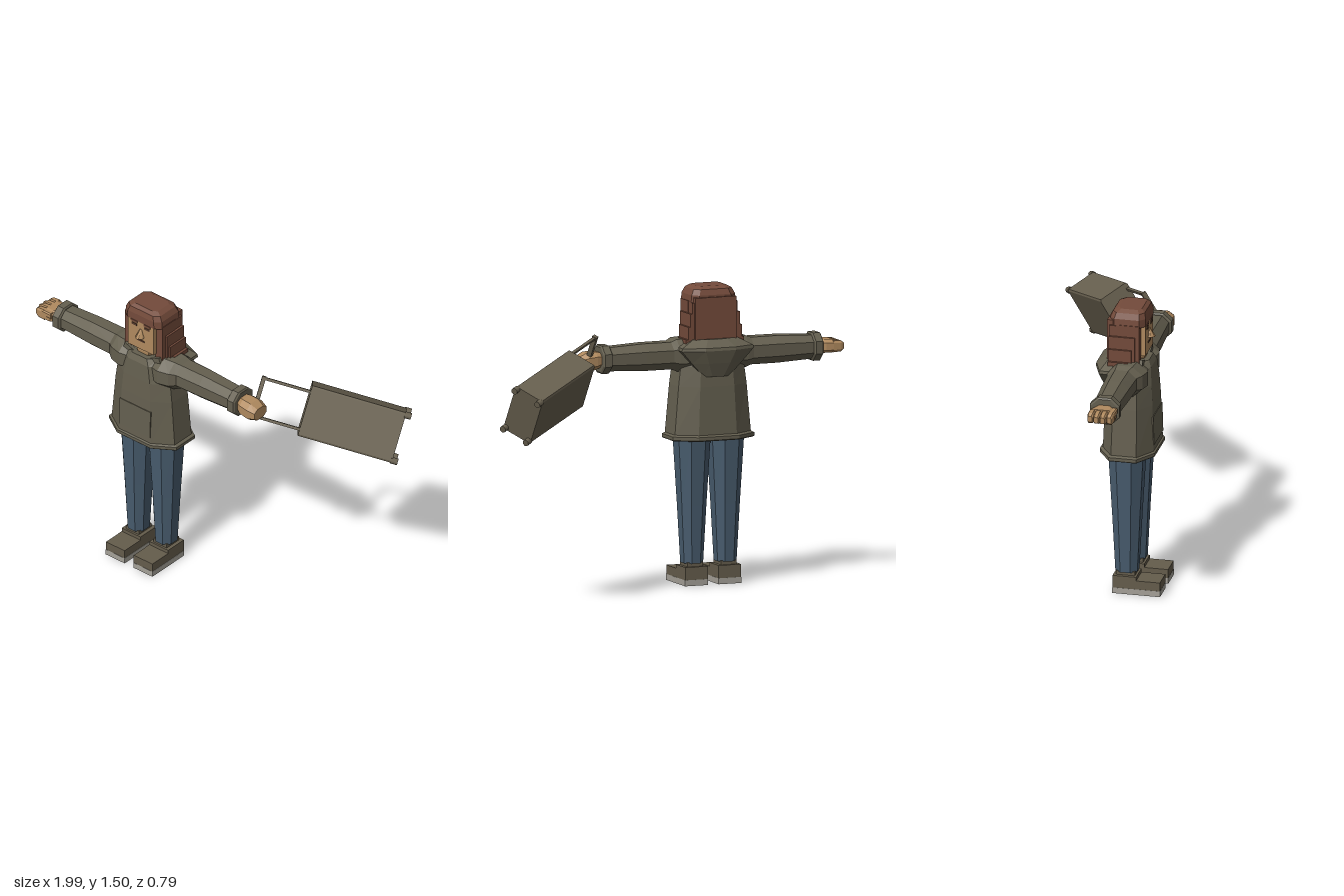
import * as THREE from 'three';

const mat = (name, color, side = THREE.FrontSide) => {
  const m = new THREE.MeshStandardMaterial({ color, side });
  m.name = name;
  return m;
};

// Faceted loft along y through chamfered rectangles: ring = [y, rx, rz, zc, xc]
function loft(rings, k = 0.5, caps = [true, true]) {
  const unit = [[1, -k], [1, k], [k, 1], [-k, 1], [-1, k], [-1, -k], [-k, -1], [k, -1]];
  const pts = rings.map(([y, rx, rz, zc = 0, xc = 0]) => unit.map(([a, b]) => [xc + a * rx, y, zc + b * rz]));
  const pos = [];
  const tri = (...t) => t.forEach((p) => pos.push(...p));
  const mid = ([y, , , zc = 0, xc = 0]) => [xc, y, zc];
  const last = rings.length - 1;
  for (let i = 0; i < 8; i++) {
    const j = (i + 1) % 8;
    for (let r = 0; r < last; r++) {
      tri(pts[r][i], pts[r + 1][i], pts[r][j]);
      tri(pts[r][j], pts[r + 1][i], pts[r + 1][j]);
    }
    if (caps[0]) tri(mid(rings[0]), pts[0][i], pts[0][j]);
    if (caps[1]) tri(mid(rings[last]), pts[last][j], pts[last][i]);
  }
  const g = new THREE.BufferGeometry();
  g.setAttribute('position', new THREE.Float32BufferAttribute(pos, 3));
  g.computeVertexNormals();
  return g;
}

export function createModel() {
  const jacket = mat('jacket olive', 0x645f4f, THREE.DoubleSide);
  const caseMat = mat('suitcase taupe', 0x696150);
  const hair = mat('hair brown', 0x744b3b);
  const skin = mat('skin', 0xb08a5f);
  const jeans = mat('jeans blue', 0x485c6e);
  const shoe = mat('shoe brown', 0x655d4c);
  const sole = mat('sole grey', 0xa5a198);
  const dark = mat('face dark', 0x553a2c);

  const model = new THREE.Group();
  const person = new THREE.Group();
  person.name = 'person';
  person.position.x = -0.285;
  model.add(person);

  const add = (parent, name, geo, m, x = 0, y = 0, z = 0) => {
    const mesh = new THREE.Mesh(geo, m);
    mesh.name = name;
    mesh.position.set(x, y, z);
    parent.add(mesh);
    return mesh;
  };
  const box = (parent, name, m, w, h, d, x, y, z) =>
    add(parent, name, new THREE.BoxGeometry(w, h, d), m, x, y, z);

  // Legs and shoes
  for (const s of [-1, 1]) {
    const x = s * 0.09;
    add(person, 'trouserLeg', loft([
      [0.11, 0.051, 0.056], [0.4, 0.066, 0.07], [0.73, 0.085, 0.088], [0.84, 0.085, 0.088],
    ], 0.45), jeans, x, 0, 0.218);
    box(person, 'ankle', shoe, 0.084, 0.03, 0.095, x, 0.1, 0.218);
    box(person, 'shoeSole', sole, 0.123, 0.03, 0.243, x, 0.015, 0.2765);
    box(person, 'shoeToe', shoe, 0.121, 0.046, 0.122, x, 0.052, 0.336);
    box(person, 'shoeHeel', shoe, 0.121, 0.064, 0.12, x, 0.062, 0.216);
  }

  // Jacket body, hem, pocket flap and hood
  add(person, 'jacketBody', loft([
    [0.75, 0.205, 0.129, 0.225], [1.0, 0.183, 0.121, 0.225], [1.1, 0.17, 0.115, 0.225],
    [1.19, 0.135, 0.104, 0.228], [1.222, 0.095, 0.09, 0.228],
  ], 0.5, [false, true]), jacket);
  add(person, 'jacketHem', loft([
    [0.73, 0.212, 0.135, 0.222], [0.735, 0.219, 0.14, 0.222], [0.752, 0.219, 0.14, 0.222], [0.76, 0.203, 0.128, 0.222],
  ], 0.5, [false, false]), jacket);
  box(person, 'pocketPanel', jacket, 0.2, 0.15, 0.008, 0, 0.865, 0.35).rotation.x = -0.03;
  add(person, 'hood', loft([
    [1.05, 0.07, 0.03, 0.125], [1.12, 0.135, 0.055, 0.128], [1.185, 0.193, 0.072, 0.127],
    [1.2, 0.19, 0.07, 0.128], [1.237, 0.12, 0.04, 0.145],
  ], 0.42), jacket);
  for (const s of [-1, 1])
    box(person, 'collarWing', jacket, 0.085, 0.03, 0.02, s * 0.075, 1.215, 0.29).rotation.z = s * 0.35;

  // Arms, modelled pointing up and then turned out sideways
  for (const s of [-1, 1]) {
    const arm = new THREE.Group();
    arm.name = s > 0 ? 'leftArm' : 'rightArm';
    arm.position.set(0, 1.155, 0.218);
    arm.rotation.z = -s * Math.PI / 2;
    person.add(arm);
    add(arm, 'sleeve', loft([
      [0.08, 0.074, 0.09, 0.012], [0.125, 0.082, 0.102, 0.012], [0.185, 0.08, 0.09, 0.008],
      [0.215, 0.068, 0.075], [0.36, 0.068, 0.07], [0.55, 0.059, 0.062],
    ], 0.45), jacket);
    add(arm, 'cuff', loft([
      [0.543, 0.062, 0.066], [0.549, 0.07, 0.075], [0.586, 0.07, 0.075], [0.592, 0.062, 0.066],
    ], 0.45), jacket);
    if (s < 0) {
      // Open hand with four fingers and a thumb
      add(arm, 'palm', loft([
        [0.58, 0.032, 0.042], [0.61, 0.034, 0.062, 0.004], [0.655, 0.033, 0.066, 0.002],
      ], 0.55), skin);
      for (let i = 0; i < 4; i++)
        add(arm, 'finger', loft([
          [0.65, 0.03, 0.0168], [0.69, 0.027, 0.0168], [i % 3 ? 0.715 : 0.706, 0.015, 0.011],
        ], 0.6), skin, 0, 0, -0.047 + i * 0.0325);
      add(arm, 'thumb', loft([[0.605, 0.016, 0.014], [0.65, 0.016, 0.014], [0.672, 0.009, 0.009]], 0.6),
        skin, 0.014, 0, 0.056);
    } else {
      // Closed hand around the suitcase handle
      add(arm, 'fist', loft([
        [0.58, 0.034, 0.042], [0.615, 0.045, 0.055, 0.005, 0.004], [0.665, 0.048, 0.058, 0.005, 0.01],
        [0.705, 0.032, 0.046, 0.005, 0.014],
      ], 0.5), skin);
    }
  }

  // Head: neck, face and features
  add(person, 'neck', loft([[1.212, 0.045, 0.075, 0.215], [1.235, 0.068, 0.08, 0.213], [1.265, 0.078, 0.08, 0.213]], 0.55), skin);
  box(person, 'face', skin, 0.168, 0.17, 0.13, 0, 1.341, 0.243);
  add(person, 'nose', loft([[1.332, 0.023, 0.03], [1.376, 0.005, 0.004]], 0.4), skin, 0, 0, 0.308);
  for (const s of [-1, 1]) {
    box(person, 'eyebrow', hair, 0.044, 0.01, 0.006, s * 0.042, 1.41, 0.309);
    box(person, 'eye', dark, 0.034, 0.012, 0.004, s * 0.041, 1.392, 0.309);
  }
  box(person, 'mouth', dark, 0.05, 0.008, 0.004, 0, 1.308, 0.309);

  // Hair: rounded cap and stepped lengths falling to the shoulders
  add(person, 'hairCap', loft([
    [1.415, 0.12, 0.089, 0.22], [1.455, 0.116, 0.089, 0.22], [1.483, 0.102, 0.08, 0.222], [1.497, 0.078, 0.058, 0.226],
  ], 0.72), hair);
  const tiers = [[1.29, 1.42, 0.121, 0.285], [1.228, 1.365, 0.133, 0.265], [1.222, 1.3, 0.144, 0.25], [1.205, 1.238, 0.157, 0.235]];
  for (const [y0, y1, rx, front] of tiers)
    box(person, 'hairTier', hair, rx * 2, y1 - y0, front - 0.133, 0, (y0 + y1) / 2, (front + 0.133) / 2);
  for (const s of [-1, 1])
    box(person, 'hairSide', hair, 0.045, 0.21, 0.1, s * 0.1, 1.32, 0.235);
  box(person, 'hairBack', hair, 0.22, 0.25, 0.04, 0, 1.32, 0.14);

  // Suitcase: local x runs away from the hand, y is its height, z its depth
  const suitcase = new THREE.Group();
  suitcase.name = 'suitcase';
  const ax = new THREE.Vector3(0.807, -0.256, -0.53).normalize();
  const az = new THREE.Vector3(0.584, 0.425, 0.685);
  az.addScaledVector(ax, -az.dot(ax)).normalize();
  const ay = new THREE.Vector3().crossVectors(az, ax);
  suitcase.quaternion.setFromRotationMatrix(new THREE.Matrix4().makeBasis(ax, ay, az));
  suitcase.position.set(0.5225, 1.1, 0.002);
  model.add(suitcase);
  add(suitcase, 'suitcaseBody', loft([[0, 0.131, 0.082], [0.485, 0.131, 0.082]], 0.93), caseMat).rotation.z = -Math.PI / 2;
  for (const sy of [-1, 1]) {
    for (const sz of [-1, 1])
      add(suitcase, 'wheel', new THREE.CylinderGeometry(0.017, 0.017, 0.034, 8).toNonIndexed(), caseMat,
        0.496, sy * 0.119, sz * 0.07).rotation.z = Math.PI / 2;
    box(suitcase, 'handleRod', caseMat, 0.25, 0.014, 0.014, -0.118, sy * 0.098, 0.07);
  }
  box(suitcase, 'handleGrip', caseMat, 0.02, 0.216, 0.024, -0.242, 0, 0.07);

  return model;
}
